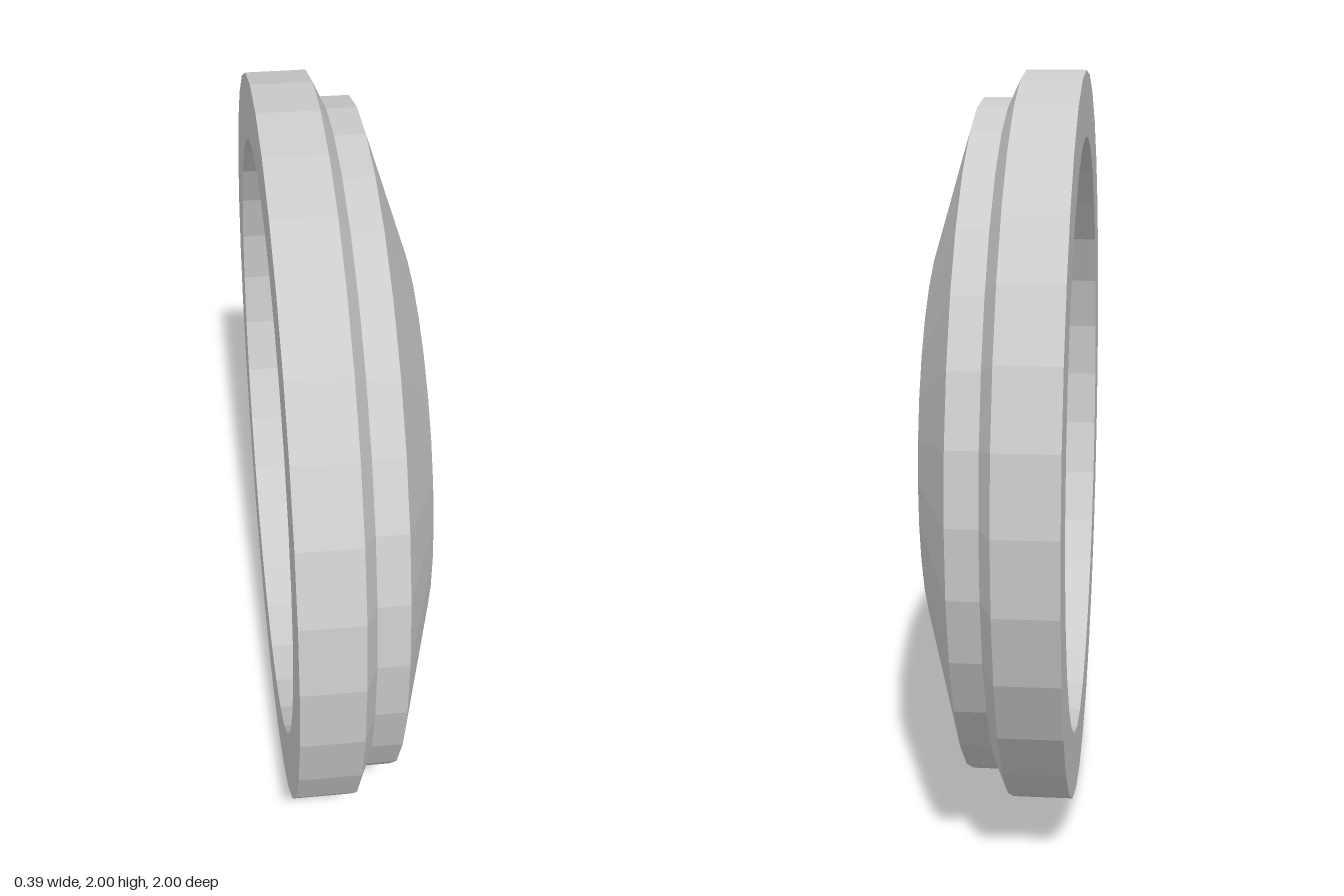
import * as THREE from 'three';

const SIDES = 32;

// Revolves [axial, radius] points around the x axis.
function revolve(name, profile, material) {
  const points = profile.map(([axial, radius]) => new THREE.Vector2(radius, axial));
  const geometry = new THREE.LatheGeometry(points, SIDES);
  geometry.rotateZ(-Math.PI / 2); // lathe axis y becomes +x
  const mesh = new THREE.Mesh(geometry, material);
  mesh.name = name;
  return mesh;
}

export function createModel() {
  const material = new THREE.MeshStandardMaterial({ color: 0xcccccc, flatShading: true });
  const group = new THREE.Group();
  group.name = 'roundCap';

  // Hollow underside
  group.add(revolve('backRecess', [
    [-0.03, 0], [-0.03, 0.825], [-0.193, 0.825],
  ], material));

  // Wide rim with a chamfered front edge
  group.add(revolve('rim', [
    [-0.193, 0.825], [-0.193, 1], [-0.033, 1], [0, 0.928],
  ], material));

  // Short collar and shallow cone
  group.add(revolve('domeCone', [
    [0, 0.928], [0.08, 0.928], [0.193, 0.555],
  ], material));

  // Shallow dish in the outer face
  group.add(revolve('frontDish', [
    [0.193, 0.555], [0.157, 0.512], [0.157, 0],
  ], material));

  group.position.y = 1;
  return group;
}
